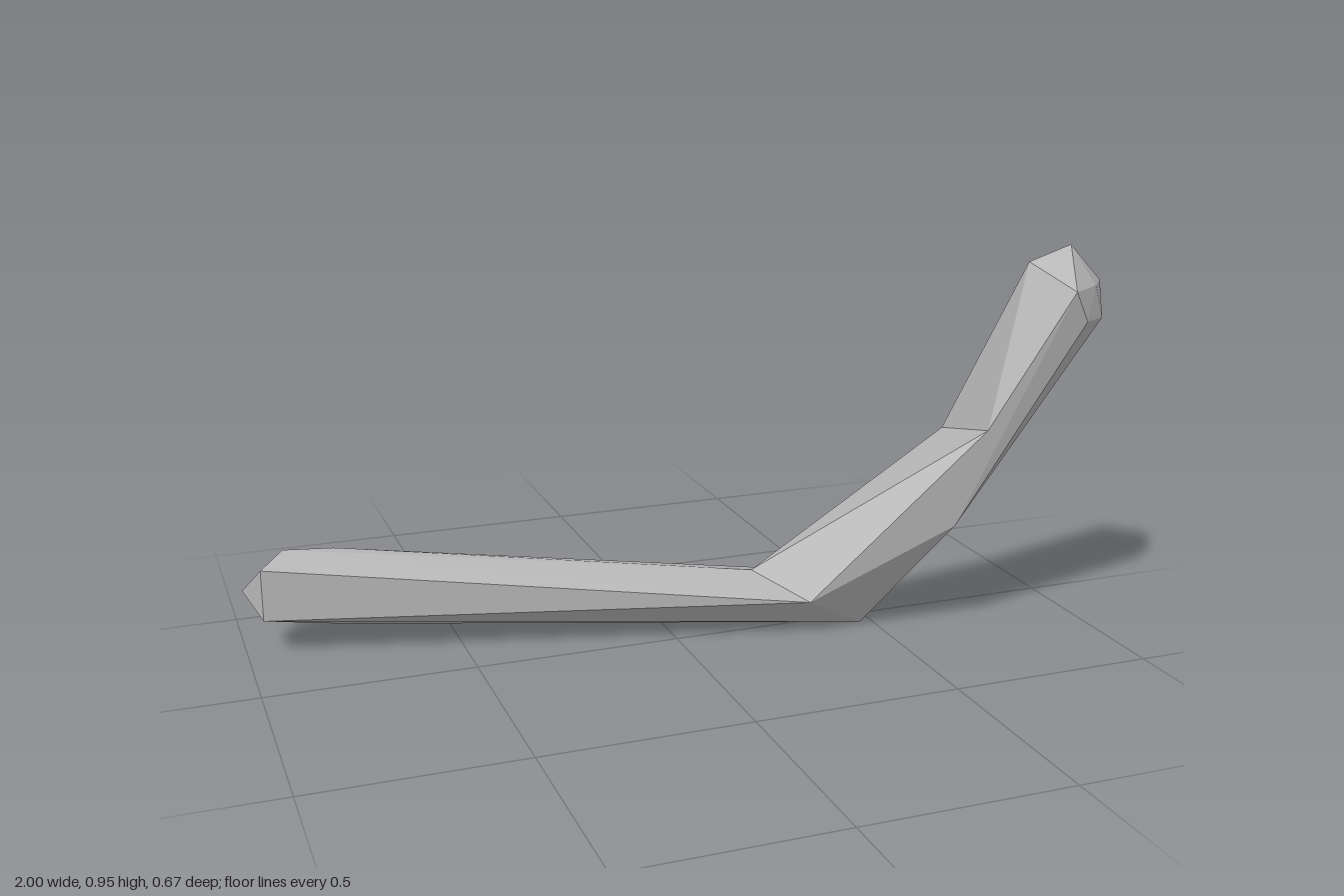
import * as THREE from 'three';
import { ConvexGeometry } from 'three/addons/geometries/ConvexGeometry.js';

const grey = new THREE.MeshStandardMaterial({ color: 0xb4b4b4, flatShading: true });
grey.name = 'plain grey';

// Faceted solid wrapped round a few corner points
function facetedPart(name, corners) {
  const mesh = new THREE.Mesh(new ConvexGeometry(corners.map(c => new THREE.Vector3(...c))), grey);
  mesh.name = name;
  return mesh;
}

// Hollow end: eight-sided rings running out to the rim and back into the cup
function cupGeometry() {
  const sides = 8, cx = -0.88, cy = 0.157;
  const rings = [
    { z: -0.27, rx: 0.118, ry: 0.09 },
    { z: -0.335, rx: 0.085, ry: 0.064 },
    { z: -0.325, rx: 0.055, ry: 0.045 },
    { z: -0.29, rx: 0.04, ry: 0.035 },
  ];
  const points = [], index = [];
  rings.forEach((r, k) => {
    for (let i = 0; i < sides; i++) {
      const a = (i / sides) * Math.PI * 2;
      let x = cx + r.rx * Math.cos(a), z = r.z;
      const y = cy + r.ry * Math.sin(a);
      // Notch in the rim, with a short prong on either side
      if (k === 1 && i === 0) { x = -0.78; z = -0.298; }
      if (k === 1 && (i === 1 || i === 7)) { x = -0.745; z = -0.322; }
      if (k === 2 && i === 0) z = -0.296;
      points.push(x, y, z);
    }
  });
  for (let k = 0; k < rings.length - 1; k++) {
    for (let i = 0; i < sides; i++) {
      const a = k * sides + i, b = k * sides + (i + 1) % sides;
      index.push(a, a + sides, b, b, a + sides, b + sides);
    }
  }
  // Cup floor
  const last = (rings.length - 1) * sides, centre = points.length / 3;
  points.push(cx, cy, -0.29);
  for (let i = 0; i < sides; i++) index.push(last + i, centre, last + (i + 1) % sides);
  const g = new THREE.BufferGeometry();
  g.setAttribute('position', new THREE.Float32BufferAttribute(points, 3));
  g.setIndex(index);
  const flat = g.toNonIndexed();
  flat.computeVertexNormals();
  return flat;
}

export function createModel() {
  const model = new THREE.Group();
  model.name = 'bentLimb';

  // Shared sections either side of the bend
  const lowerJoint = [[0.2, 0.15, -0.012], [0.305, 0.095, 0.113], [0.47, 0, 0.054], [0.52, 0.095, -0.034]];
  const upperJoint = [[0.635, 0.287, 0.217], [0.687, 0.205, 0.053], [0.69, 0.53, 0.255], [0.69, 0.48, 0.033]];

  // Long lower bar
  model.add(facetedPart('lowerBar', [
    ...lowerJoint,
    [-0.9, 0.248, -0.279], [-0.96, 0.22, -0.228], [-0.96, 0.093, -0.228], [-0.9, 0.07, -0.279],
    [-1, 0.155, -0.284], [-0.78, 0.24, -0.276], [-0.76, 0.06, -0.225],
  ]));

  // Bend
  model.add(facetedPart('bend', [...lowerJoint, ...upperJoint]));

  // Raised bar with a faceted tip
  model.add(facetedPart('raisedBar', [
    ...upperJoint,
    [0.91, 0.955, 0.217], [0.8, 0.92, 0.215], [0.91, 0.865, 0.108], [0.997, 0.865, 0.215],
    [0.86, 0.865, 0.332], [0.945, 0.865, 0.278], [0.9, 0.79, 0.322], [0.975, 0.785, 0.268],
  ]));

  const cup = new THREE.Mesh(cupGeometry(), grey);
  cup.name = 'hollowEnd';
  model.add(cup);
  return model;
}
